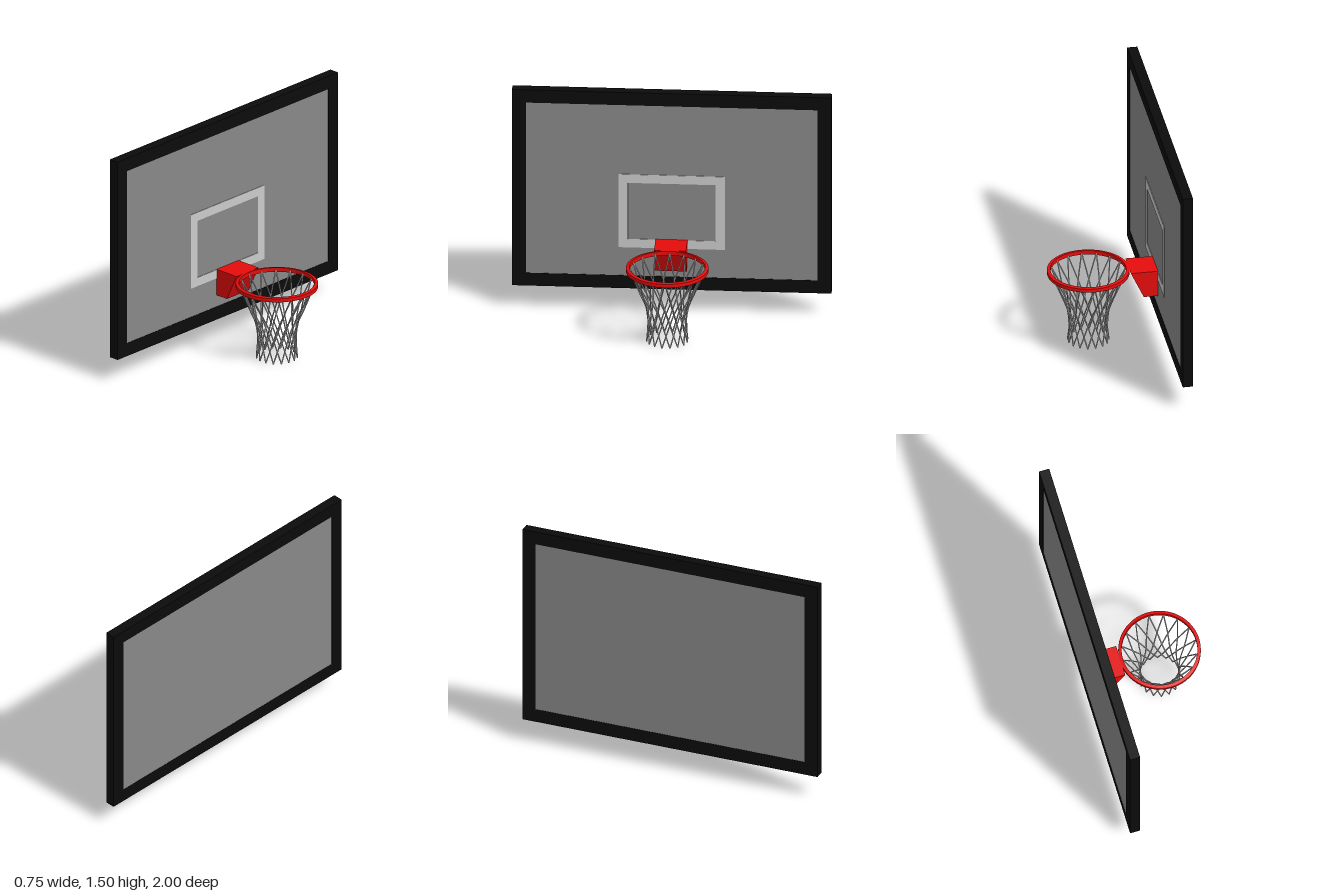
import * as THREE from 'three';

const mat = (color, extra = {}) => new THREE.MeshStandardMaterial({ color, ...extra });

function part(name, geometry, material, parent) {
  const mesh = new THREE.Mesh(geometry, material);
  mesh.name = name;
  parent.add(mesh);
  return mesh;
}

// Rectangular border standing in the z-y plane, extruded along +x
function border(halfWidth, bottom, top, thick, depth) {
  const rect = (T, w, y0, y1) => {
    const p = new T();
    p.moveTo(-w, y0);
    p.lineTo(w, y0);
    p.lineTo(w, y1);
    p.lineTo(-w, y1);
    p.closePath();
    return p;
  };
  const shape = rect(THREE.Shape, halfWidth, bottom, top);
  shape.holes.push(rect(THREE.Path, halfWidth - thick, bottom + thick, top - thick));
  return new THREE.ExtrudeGeometry(shape, { depth, bevelEnabled: false }).rotateY(Math.PI / 2);
}

export function createModel() {
  const model = new THREE.Group();
  model.name = 'basketballHoop';
  const black = mat(0x0b0b0b), grey = mat(0x888888), light = mat(0xcccccc);
  const red = mat(0xe60c0c, { side: THREE.DoubleSide });

  // Backboard: dark frame, grey panel and target square
  const board = new THREE.Group();
  board.name = 'backboard';
  model.add(board);
  part('frame', border(1, 0.16, 1.5, 0.087, 0.065), black, board).position.x = -0.375;
  part('panel', new THREE.BoxGeometry(0.061, 1.17, 1.83), grey, board).position.set(-0.3425, 0.83, 0);
  part('targetSquare', border(0.333, 0.44, 0.94, 0.058, 0.004), light, board).position.x = -0.313;

  // Wedge bracket between board and rim
  const side = new THREE.Shape([
    [-0.312, 0.325], [-0.222, 0.325], [-0.14, 0.5], [-0.312, 0.5],
  ].map(([x, y]) => new THREE.Vector2(x, y)));
  part('bracket', new THREE.ExtrudeGeometry(side, { depth: 0.2, bevelEnabled: false }), mat(0xe60c0c), model)
    .position.z = -0.1;

  // Rim: flat band, built from separate lathe strips so its edges stay sharp
  const hoop = new THREE.Group();
  hoop.name = 'hoop';
  hoop.position.x = 0.113;
  model.add(hoop);
  const section = [[0.237, 0.476], [0.258, 0.476], [0.258, 0.5], [0.237, 0.504], [0.237, 0.476]]
    .map(([r, y]) => new THREE.Vector2(r, y));
  const rim = new THREE.Group();
  rim.name = 'rim';
  hoop.add(rim);
  ['rimUnderside', 'rimOuter', 'rimTop', 'rimInner'].forEach((name, i) =>
    part(name, new THREE.LatheGeometry([section[i], section[i + 1]], 64), red, rim));

  // Net: cords winding both ways, crossing half a spacing further at each level
  const net = new THREE.Group();
  net.name = 'net';
  hoop.add(net);
  const levels = [[0.237, 0.49], [0.174, 0.335], [0.134, 0.235], [0.122, 0.155], [0.122, 0.08], [0.13, 0.003]];
  const cords = 16, step = Math.PI / cords;
  for (const dir of [-1, 1]) {
    const curve = new THREE.CatmullRomCurve3(levels.map(([r, y], i) =>
      new THREE.Vector3(r * Math.cos(dir * i * step), y, r * Math.sin(dir * i * step))));
    const cord = new THREE.TubeGeometry(curve, 24, 0.0042, 6);
    for (let k = 0; k < cords; k++) part('netCord', cord, light, net).rotation.y = 2 * k * step;
  }
  return model;
}
